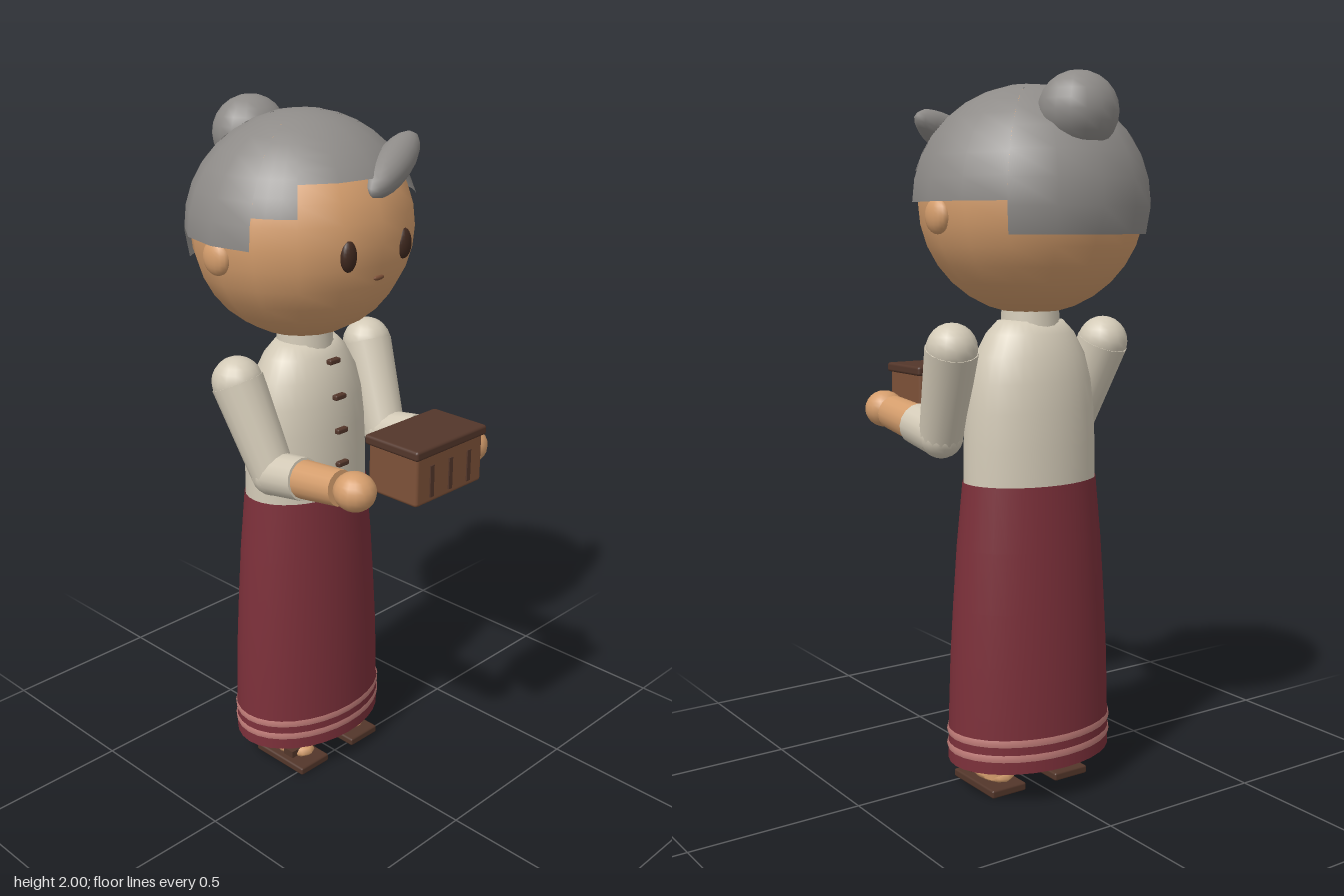
import * as THREE from 'three';
import { RoundedBoxGeometry } from 'three/addons/geometries/RoundedBoxGeometry.js';

const mat = (name, color, side = THREE.FrontSide) => {
  const m = new THREE.MeshStandardMaterial({ color, side });
  m.name = name;
  return m;
};

export function createModel() {
  const root = new THREE.Group();
  root.name = 'figure';
  const skin = mat('skin', 0xd49d6c);
  const hair = mat('grey hair', 0x8e8b88, THREE.DoubleSide);
  const cloth = mat('cream cloth', 0xd3cab7, THREE.DoubleSide);
  const red = mat('red skirt', 0x7c303a, THREE.DoubleSide);
  const pink = mat('pink trim', 0xc07c78, THREE.DoubleSide);
  const dark = mat('dark wood', 0x53362a);
  const wood = mat('wood', 0x7d5138);
  const eyeMat = mat('eye brown', 0x40291f);

  const add = (name, geo, m, x = 0, y = 0, z = 0, parent = root) => {
    const mesh = new THREE.Mesh(geo, m);
    mesh.name = name;
    mesh.position.set(x, y, z);
    parent.add(mesh);
    return mesh;
  };
  const ball = (name, m, x, y, z, rx, ry, rz, parent = root, w = 16, h = 12) => {
    const b = add(name, new THREE.SphereGeometry(1, w, h), m, x, y, z, parent);
    b.scale.set(rx, ry, rz);
    return b;
  };
  // tapered cylinder between two points
  const limb = (name, m, a, b, ra, rb, parent = root) => {
    const p = new THREE.Vector3(...a), q = new THREE.Vector3(...b);
    const d = q.clone().sub(p);
    const mesh = add(name, new THREE.CylinderGeometry(rb, ra, d.length(), 16), m, 0, 0, 0, parent);
    mesh.position.copy(p).add(q).multiplyScalar(0.5);
    mesh.quaternion.setFromUnitVectors(new THREE.Vector3(0, 1, 0), d.normalize());
    return mesh;
  };
  // lathe with an oval plan
  const ovalLathe = (name, m, pts, zScale) => {
    const geo = new THREE.LatheGeometry(pts.map(p => new THREE.Vector2(...p)), 32);
    const mesh = add(name, geo, m, 0, 0, -0.12);
    mesh.scale.z = zScale;
    return mesh;
  };

  // Skirt, open at the bottom, with two trim bands
  ovalLathe('skirt', red,
    [[0.253, 0.1], [0.25, 0.25], [0.245, 0.4], [0.236, 0.55], [0.224, 0.72], [0.206, 0.9]], 0.72);
  for (const y of [0.145, 0.188])
    ovalLathe('skirtBand', pink, [[0.255, y - 0.01], [0.257, y], [0.254, y + 0.01]], 0.72);

  // Blouse
  ovalLathe('blouse', cloth, [[0.203, 0.89], [0.202, 1.0], [0.197, 1.1], [0.187, 1.18],
    [0.168, 1.25], [0.135, 1.31], [0.1, 1.345], [0.0, 1.36]], 0.72);
  add('collar', new THREE.CylinderGeometry(0.08, 0.085, 0.08, 20), cloth, 0, 1.335, -0.12);
  add('neck', new THREE.CylinderGeometry(0.07, 0.07, 0.1, 16), skin, 0, 1.36, -0.12);
  [[1.3, -0.005], [1.2, 0.018], [1.1, 0.026], [1.0, 0.03]].forEach(([y, z]) =>
    add('button', new RoundedBoxGeometry(0.042, 0.016, 0.02, 1, 0.005), dark, 0, y, z));

  // Head and face
  ball('head', skin, 0, 1.665, -0.125, 0.317, 0.304, 0.304, root, 16, 16);
  ball('mouth', wood, 0, 1.572, 0.163, 0.02, 0.007, 0.006);

  // Hair cap: sectors [start, length, hairline angle from the crown] in degrees
  const cap = new THREE.Group();
  cap.name = 'hairCap';
  cap.position.set(0, 1.665, -0.125);
  cap.scale.set(0.333, 0.317, 0.317);
  root.add(cap);
  const rad = THREE.MathUtils.degToRad;
  for (const [start, len, line] of [[45, 90, 58.5], [22.5, 22.5, 74.5], [135, 22.5, 74.5],
    [-45, 67.5, 90], [157.5, 67.5, 90], [-135, 90, 105.5]])
    add('hairSector', new THREE.SphereGeometry(1, len / 22.5, 8, rad(start), rad(len), 0, rad(line)),
      hair, 0, 0, 0, cap);
  ball('bun', hair, 0, 1.895, -0.332, 0.112, 0.105, 0.1);
  const lock = ball('forelock', hair, 0.118, 1.846, 0.1, 0.16, 0.052, 0.052);
  lock.quaternion.setFromUnitVectors(new THREE.Vector3(1, 0, 0),
    new THREE.Vector3(0.145, 0.055, -0.055).normalize());

  for (const s of [-1, 1]) {
    const side = s > 0 ? 'left' : 'right';
    ball(side + 'Eye', eyeMat, s * 0.106, 1.645, 0.154, 0.026, 0.042, 0.018);
    ball(side + 'Ear', skin, s * 0.307, 1.628, -0.132, 0.027, 0.048, 0.047);

    // Arm: sleeve bent at the elbow, bare forearm, hand
    const arm = new THREE.Group();
    arm.name = side + 'Arm';
    root.add(arm);
    const shoulder = [s * 0.258, 1.275, -0.12], elbow = [s * 0.228, 1.025, -0.015];
    const cuff = [s * 0.23, 1.045, 0.11], wrist = [s * 0.23, 1.062, 0.25];
    ball('shoulder', cloth, ...shoulder, 0.072, 0.072, 0.072, arm);
    limb('upperSleeve', cloth, shoulder, elbow, 0.074, 0.062, arm);
    ball('elbow', cloth, ...elbow, 0.063, 0.063, 0.063, arm);
    limb('lowerSleeve', cloth, elbow, cuff, 0.062, 0.06, arm);
    limb('forearm', skin, cuff, wrist, 0.054, 0.05, arm);
    ball('hand', skin, s * 0.23, 1.068, 0.3, 0.057, 0.054, 0.06, arm);

    // Leg, foot and sandal
    const leg = new THREE.Group();
    leg.name = side + 'Leg';
    leg.position.x = s * 0.11;
    root.add(leg);
    add('shin', new THREE.CylinderGeometry(0.06, 0.055, 0.3, 16), skin, 0, 0.235, -0.12, leg);
    add('ankle', new THREE.CylinderGeometry(0.045, 0.045, 0.06, 12), skin, 0, 0.07, -0.12, leg);
    ball('foot', skin, 0, 0.046, -0.085, 0.05, 0.025, 0.092, leg, 12, 6);
    add('sandalSole', new RoundedBoxGeometry(0.116, 0.024, 0.205, 1, 0.006), dark, 0, 0.012, -0.078, leg);
    add('sandalStrap', new THREE.BoxGeometry(0.106, 0.022, 0.038), dark, 0, 0.05, -0.042, leg);
  }

  // Wooden box held out in front
  add('boxBody', new RoundedBoxGeometry(0.268, 0.145, 0.172, 2, 0.01), wood, 0, 1.1, 0.343);
  add('boxLid', new RoundedBoxGeometry(0.284, 0.028, 0.188, 2, 0.008), dark, 0, 1.176, 0.343);
  for (const x of [-0.075, 0, 0.075])
    add('boxSlat', new THREE.BoxGeometry(0.014, 0.09, 0.006), dark, x, 1.09, 0.43);

  return root;
}
